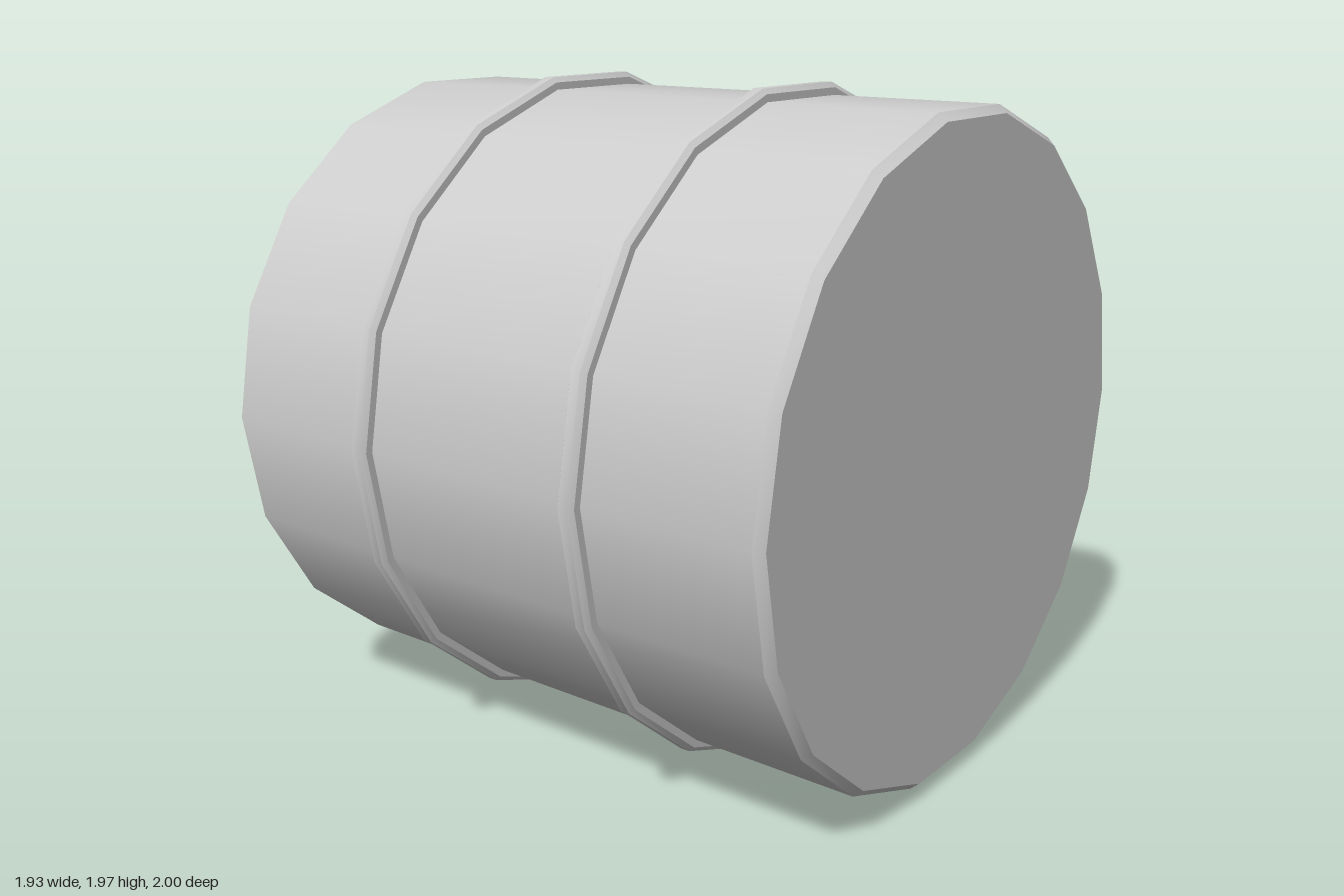
import * as THREE from 'three';
import { toCreasedNormals } from 'three/addons/utils/BufferGeometryUtils.js';

const SIDES = 18;
const material = new THREE.MeshStandardMaterial({ color: 0xcccccc });

// Turns a [radius, x] profile around the x axis, smooth around and sharp at profile corners
function turned(name, profile) {
  const points = profile.map(([r, x]) => new THREE.Vector2(r, x));
  const lathe = new THREE.LatheGeometry(points, SIDES);
  lathe.rotateZ(-Math.PI / 2);
  const mesh = new THREE.Mesh(toCreasedNormals(lathe, THREE.MathUtils.degToRad(28)), material);
  mesh.name = name;
  return mesh;
}

export function createModel() {
  const model = new THREE.Group();
  model.name = 'barrel';

  // Drum lying on its side, with bevelled rims and flat ends
  const drum = new THREE.Group();
  drum.name = 'drum';
  drum.position.y = Math.cos(Math.PI / SIDES);
  model.add(drum);

  drum.add(turned('body', [
    [0, -0.963], [0.94, -0.963], [0.963, -0.938],
    [0.963, 0.938], [0.94, 0.963], [0, 0.963],
  ]));

  // Two raised hoops with chamfered outer edges
  for (const side of [-1, 1]) {
    const hoop = turned(side < 0 ? 'rightHoop' : 'leftHoop', [
      [0.955, -0.028], [0.985, -0.028], [1, -0.015],
      [1, 0.015], [0.985, 0.028], [0.955, 0.028],
    ]);
    hoop.position.x = side * 0.385;
    drum.add(hoop);
  }
  return model;
}
